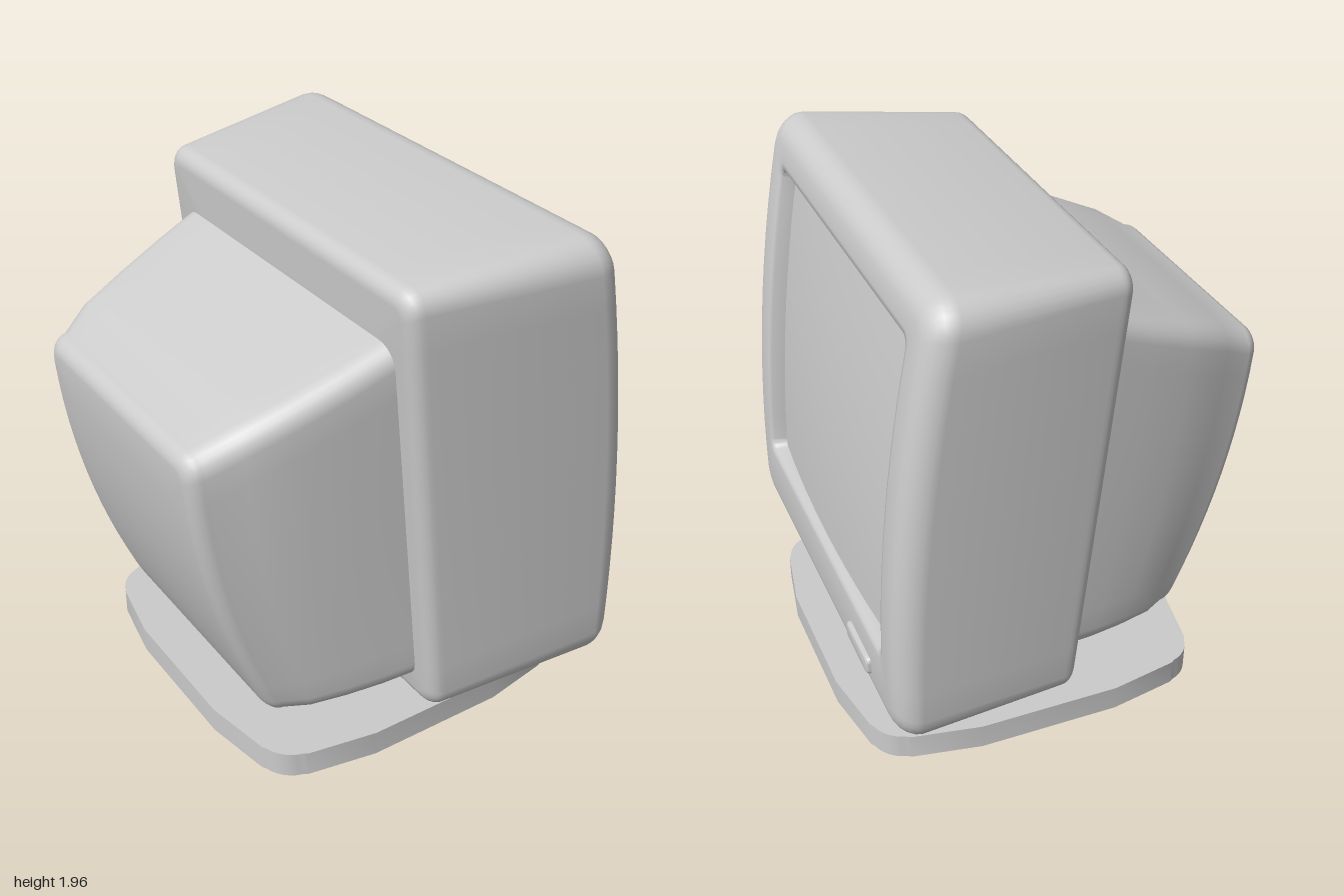
import * as THREE from 'three';
import { toCreasedNormals } from 'three/addons/utils/BufferGeometryUtils.js';

const material = new THREE.MeshStandardMaterial({ color: 0xcccccc });

function part(name, geometry, crease = 0.6) {
  const mesh = new THREE.Mesh(toCreasedNormals(geometry, crease), material);
  mesh.name = name;
  return mesh;
}

// Rounded rectangle as a counter-clockwise loop, with extra points along each side
function ringPoints({ w, b, t, r }) {
  const pts = [], corners = [[w - r, t - r], [r - w, t - r], [r - w, b + r], [w - r, b + r]];
  corners.forEach(([cx, cy], q) => {
    for (let i = 0; i <= 6; i++) {
      const a = (q + i / 6) * Math.PI / 2;
      pts.push([cx + r * Math.cos(a), cy + r * Math.sin(a)]);
    }
    const [sx, sy] = pts[pts.length - 1], n = corners[(q + 1) % 4];
    const a = (q + 1) * Math.PI / 2;
    const ex = n[0] + r * Math.cos(a), ey = n[1] + r * Math.sin(a);
    for (let i = 1; i < 12; i++) pts.push([sx + (ex - sx) * i / 12, sy + (ey - sy) * i / 12]);
  });
  return pts;
}

// Skin over rounded-rectangle rings listed from back to front; bend() sets the depth
function loft(rings, bend) {
  const pos = [], index = [];
  let n = 0;
  rings.forEach((ring) => {
    const pts = ringPoints(ring);
    n = pts.length;
    pts.forEach(([x, y]) => pos.push(x, y, bend(x, y, ring.z)));
  });
  for (let k = 0; k < rings.length - 1; k++) {
    for (let i = 0; i < n; i++) {
      const a = k * n + i, b = k * n + (i + 1) % n;
      index.push(a, b, b + n, a, b + n, a + n);
    }
  }
  const g = new THREE.BufferGeometry();
  g.setAttribute('position', new THREE.Float32BufferAttribute(pos, 3));
  g.setIndex(index);
  return g;
}

const inset = (s, d, z) => ({
  w: s.w - d, b: s.b + d, t: s.t - d, r: Math.max(s.r - d * 0.6, 0.02), z,
});

// Ring shrunk towards its own centre, used to close flat or curved faces
function shrink(s, k) {
  const c = (s.b + s.t) / 2, h = (s.t - s.b) / 2 * k;
  return { w: s.w * k, b: c - h, t: c + h, r: s.r * k, z: s.z };
}

// Quarter-round edge as a series of rings; dir is 1 at the front, -1 at the back
function fillet(s, radius, z, dir) {
  const out = [];
  for (let i = 0; i <= 6; i++) {
    const a = i / 6 * Math.PI / 2;
    out.push(inset(s, radius * (1 - Math.cos(a)), z - dir * radius * (1 - Math.sin(a))));
  }
  return dir > 0 ? out : out.reverse();
}

// Square outline with slightly bowed sides and rounded corners, counter-clockwise
function footOutline(scale, Type) {
  const pts = [], quarter = [[-0.275, 0.708], [0.275, 0.708], [0.54, 0.66]];
  for (let i = 0; i <= 6; i++) {
    const a = (75 - i * 10) * Math.PI / 180;
    quarter.push([0.52 + 0.135 * Math.cos(a), 0.52 + 0.135 * Math.sin(a)]);
  }
  quarter.push([0.66, 0.54]);
  for (let q = 0; q < 4; q++) {
    const c = Math.cos(q * Math.PI / 2), s = Math.sin(q * Math.PI / 2);
    quarter.forEach(([x, y]) => pts.push(
      new THREE.Vector2((x * c + y * s) * scale, (y * c - x * s) * scale)));
  }
  return new Type(pts.reverse());
}

function slab(shape, y0, y1) {
  const g = new THREE.ExtrudeGeometry(shape, { depth: y1 - y0, bevelEnabled: false });
  return g.rotateX(-Math.PI / 2).translate(0, y0, 0);
}

export function createModel() {
  const model = new THREE.Group();
  model.name = 'monitor';
  const yaw = 2 * Math.PI / 3;

  // Swivel stand: plate with a recess underneath, and a neck
  const stand = new THREE.Group();
  stand.name = 'stand';
  stand.position.set(0, 0, 0.045);
  stand.rotation.y = yaw;
  const plate = footOutline(1, THREE.Shape);
  plate.holes.push(footOutline(0.565, THREE.Path));
  stand.add(part('basePlate', slab(plate, 0, 0.1)));
  stand.add(part('neck', slab(footOutline(0.565, THREE.Shape), 0.04, 0.29)));
  model.add(stand);

  // Head, tilted slightly backwards
  const head = new THREE.Group();
  head.name = 'head';
  head.rotation.order = 'YXZ';
  head.rotation.set(-0.096, yaw, 0);
  head.position.set(0.04, 0, 0.069);
  model.add(head);

  // Front casing with a gently bowed face and an opening for the screen
  const faceZ = 0.643;
  const bow = (x, y, z) => z + 0.055 * (1 - ((y - 1.05) / 0.86) ** 2) * Math.max(0, z) / faceZ;
  const back = { w: 0.77, b: 0.178, t: 1.914, r: 0.08 };
  const front = { w: 0.89, b: 0.178, t: 1.914, r: 0.115 };
  const opening = { w: 0.7, b: 0.483, t: 1.727, r: 0.035 };
  const backEdge = fillet(back, 0.06, -0.1, -1);
  const casing = [
    shrink(backEdge[0], 0.001), ...backEdge,
    ...fillet(front, 0.095, faceZ, 1),
    inset(opening, -0.03, faceZ),
    inset(opening, -0.008, faceZ - 0.004),
    inset(opening, 0, faceZ - 0.014),
    inset(opening, 0.012, faceZ - 0.08),
  ];
  head.add(part('casing', loft(casing, bow), 0.9));

  // Curved glass set into the opening
  const glass = inset(opening, 0.005, faceZ - 0.06);
  const glassRings = [1, 0.9, 0.75, 0.6, 0.45, 0.3, 0.15, 0.001].map((k) => shrink(glass, k));
  const dome = (x, y, z) => bow(x, y, z) + 0.03 * (1 - (x / 0.69) ** 2);
  head.add(part('screen', loft(glassRings, dome)));

  // Tapering rear housing with a bowed, sloping back; z runs from 0 (joint) to -1 (back)
  const joint = { w: 0.67, b: 0.28, t: 1.7, r: 0.08, z: 0 };
  const rear = { w: 0.525, b: 0.28, t: 1.49, r: 0.08 };
  const rearEdge = fillet(rear, 0.065, -1, -1).map((s) => ({ ...s, z: -1 + (s.z + 1) * 1.45 }));
  const rearDepth = (x, y, z) => -0.085 - z * (-0.403 - 0.468 * y + 0.178 * y * y);
  // Sides swell a little between the back and the joint
  const swell = [0.25, 0.5, 0.75].map((k) => ({
    w: THREE.MathUtils.lerp(rear.w, joint.w, k) + 0.08 * k * (1 - k),
    b: 0.28, t: THREE.MathUtils.lerp(rear.t, joint.t, k), r: 0.08, z: k - 1,
  }));
  const housing = [
    ...[0.001, 0.25, 0.5, 0.75].map((k) => shrink(rearEdge[0], k)),
    ...rearEdge, ...swell, joint,
  ];
  // Depth runs towards -z, so the back ring maps to the far end
  head.add(part('rearHousing', loft(housing, rearDepth)));

  // Power button below the screen
  const key = { w: 0.123, b: -0.037, t: 0.037, r: 0.015 };
  const keyEdge = fillet(key, 0.012, 0.025, 1);
  const button = part('powerButton', loft(
    [{ ...key, z: -0.03 }, ...keyEdge, shrink(keyEdge[keyEdge.length - 1], 0.001)],
    (x, y, z) => z));
  button.position.set(0.467, 0.325, bow(0, 0.325, faceZ) - 0.008);
  button.rotation.x = 0.1;
  head.add(button);

  return model;
}
